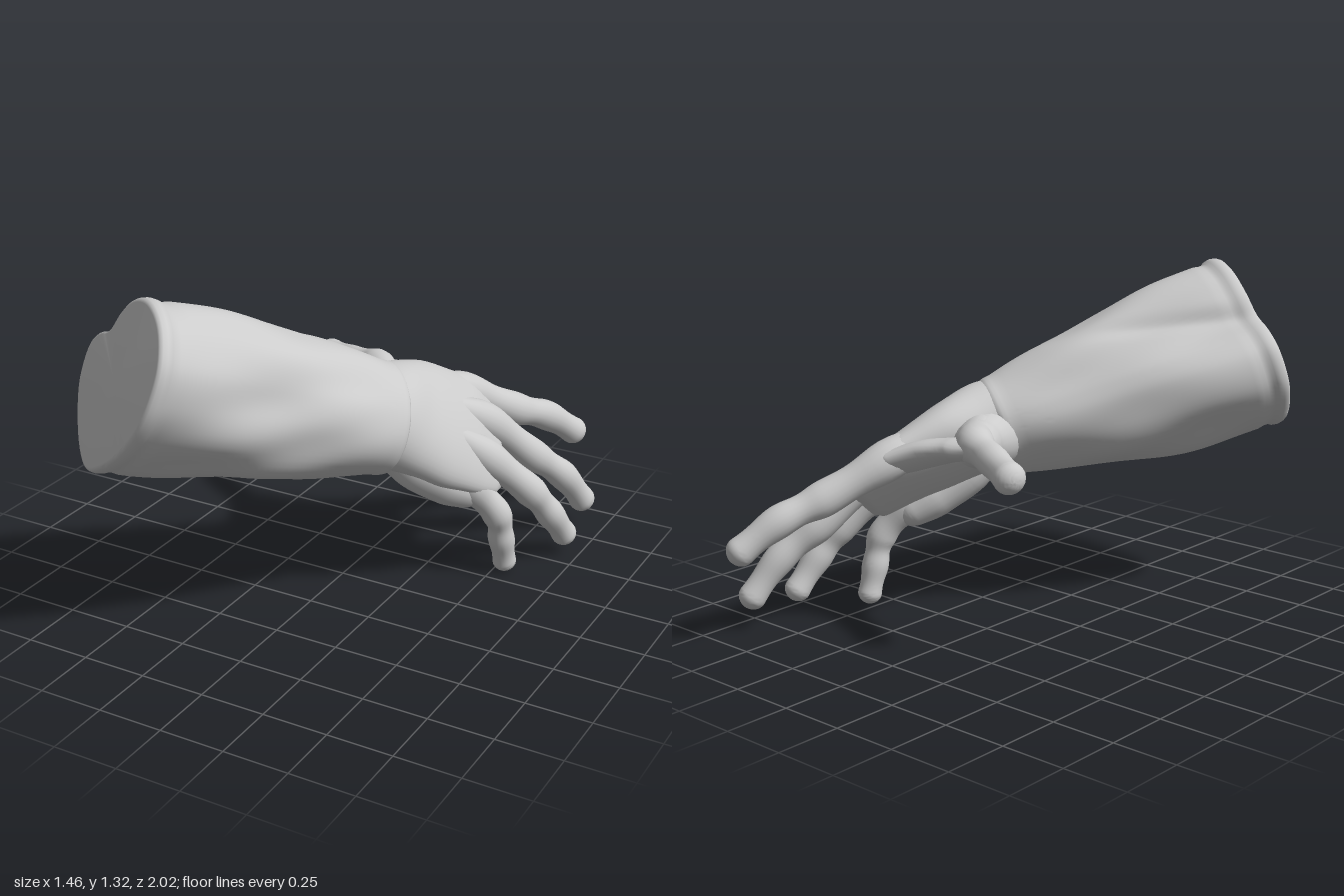
import * as THREE from 'three';
import { toCreasedNormals } from 'three/addons/utils/BufferGeometryUtils.js';

const V = (x, y, z) => new THREE.Vector3(x, y, z);
const material = new THREE.MeshStandardMaterial({ color: 0xcccccc });

// Arm frame: axis runs from the cuff to the wrist, side is horizontal, up completes it
const axis = V(0.556, -0.335, -0.761).normalize();
const side = V(0.808, 0, 0.59).normalize();
const up = side.clone().cross(axis);
const elbow = V(-0.44, 1.0, 0.82);

// Hand frame: across runs from index to little finger, dorsal leaves the back of the hand
const across = V(0.41, -0.5, 0.76).normalize();
const dorsal = V(0.676, 0.7, 0.095).normalize();

// Skin a list of rings (each counter-clockwise about the direction of travel)
function loft(name, rings, crease = 1) {
  const n = rings[0].length;
  const pos = [], index = [];
  rings.forEach(r => r.forEach(p => pos.push(p.x, p.y, p.z)));
  const at = (i, j) => i * n + (j % n);
  for (let i = 0; i < rings.length - 1; i++)
    for (let j = 0; j < n; j++) {
      const a = at(i, j), b = at(i, j + 1), c = at(i + 1, j + 1), d = at(i + 1, j);
      index.push(a, b, c, a, c, d);
    }
  [0, rings.length - 1].forEach(i => {
    const mid = rings[i].reduce((s, p) => s.add(p), V(0, 0, 0)).divideScalar(n);
    const k = pos.length / 3;
    pos.push(mid.x, mid.y, mid.z);
    for (let j = 0; j < n; j++)
      i === 0 ? index.push(k, at(i, j + 1), at(i, j)) : index.push(k, at(i, j), at(i, j + 1));
  });
  const g = new THREE.BufferGeometry();
  g.setAttribute('position', new THREE.Float32BufferAttribute(pos, 3));
  g.setIndex(index);
  const mesh = new THREE.Mesh(toCreasedNormals(g, crease), material);
  mesh.name = name;
  return mesh;
}

const ellipse = (c, a, ra, b, rb, n) => Array.from({ length: n }, (_, j) => {
  const t = j / n * Math.PI * 2;
  return c.clone().addScaledVector(a, ra * Math.cos(t)).addScaledVector(b, rb * Math.sin(t));
});

// Value of a list of numbers at a fractional position, eased between entries
function blend(list, k) {
  const i = Math.min(Math.floor(k), list.length - 2);
  return THREE.MathUtils.lerp(list[i], list[i + 1], THREE.MathUtils.smoothstep(k - i, 0, 1));
}

// Round-ended limb through points; knob swells the joints, widen stretches it sideways
function limb(name, points, radii, { knob = 0, widen = 1 } = {}) {
  const pts = points.map(p => V(...p));
  const curve = new THREE.CatmullRomCurve3(pts, false, 'centripetal');
  const rings = [], steps = 52;
  for (let i = 0; i <= steps; i++) {
    const u = 1 - Math.pow(1 - i / steps, 1.7);
    const k = u * (pts.length - 1);
    const p = curve.getPoint(u), t = curve.getTangent(u);
    const s = t.clone().cross(dorsal).normalize(), d = s.clone().cross(t);
    let r = blend(radii, k) * (1 + knob * Math.cos(k * Math.PI * 2));
    const gap = Math.max(p.distanceTo(pts[pts.length - 1]), 0.0004);
    if (gap < r) r = Math.sqrt(r * r - (r - gap) ** 2);
    rings.push(ellipse(p, d, r, s, r * widen, 20));
  }
  return loft(name, rings, 1.4);
}

// Sleeve: the notched cuff outline blends into the oval wrist
function sleeve() {
  const outline = new THREE.CatmullRomCurve3([
    [0.32, 0.053], [0.312, 0.19], [0.224, 0.297], [0.078, 0.34], [-0.05, 0.308], [-0.13, 0.234],
    [-0.185, 0.149], [-0.274, 0.106], [-0.333, 0.042], [-0.338, -0.085], [-0.275, -0.19],
    [-0.15, -0.297], [-0.043, -0.33], [0.058, -0.287], [0.183, -0.19], [0.286, -0.053],
  ].map(([x, y]) => V(x, y, 0)), true);
  const n = 96, rings = [];
  const ring = (t, scale) => {
    const m = Math.pow(Math.min(t / 1.06, 1), 1.45);
    const c = elbow.clone().addScaledVector(axis, t).addScaledVector(up, 0.06 * t).addScaledVector(side, 0.012 * m);
    return Array.from({ length: n }, (_, j) => {
      const o = outline.getPoint(j / n);
      const a = Math.atan2(o.y, o.x), e = a + 0.656;
      const oval = 1 / Math.hypot(Math.cos(e) / 0.222, Math.sin(e) / 0.185);
      const body = Math.sin(Math.PI * Math.min(t / 1.06, 1));
      // fuller above and below, flatter on the upper outer side
      const bulge = body * (0.026 - 0.055 * Math.exp(-((a - 0.6) ** 2) / 0.4));
      // slanting cloth folds and the groove running from the notch
      const folds = 0.008 * body * Math.sin(4 * a + 8 * t) + 0.005 * body * Math.sin(7 * a - 9 * t);
      const off = Math.atan2(Math.sin(a - 2.45 + 0.9 * t), Math.cos(a - 2.45 + 0.9 * t));
      const groove = 0.045 * body * Math.exp(-(off * off) / 0.02) * Math.max(0, 1 - t / 0.8);
      const r = (THREE.MathUtils.lerp(o.length(), oval, m) + bulge + folds - groove) * scale;
      return c.clone().addScaledVector(side, r * Math.cos(a)).addScaledVector(up, r * Math.sin(a));
    });
  };
  // rolled cuff rim
  [[0, 0.95], [0.002, 0.98], [0.012, 1.0], [0.03, 1.01], [0.05, 1.0], [0.062, 0.975]]
    .forEach(([t, s]) => rings.push(ring(t, s)));
  for (let i = 1; i <= 40; i++) rings.push(ring(0.062 + i * 0.0238, i === 1 ? 0.975 : 0.99));
  // slim hem at the wrist
  [[1.03, 1.0], [1.045, 1.01], [1.06, 1.005], [1.068, 0.97], [1.07, 0.85]]
    .forEach(([t, s]) => rings.push(ring(t, s)));
  return loft('sleeve', rings.reverse(), 0.9);
}

// Palm: oval sections [centre, half width, half thickness] from wrist to finger webs
function palm() {
  const keys = [
    [[0.11, 0.75, 0.08], 0.2, 0.16], [[0.17, 0.725, 0.0], 0.22, 0.17],
    [[0.24, 0.675, -0.12], 0.255, 0.142], [[0.31, 0.61, -0.225], 0.27, 0.118],
    [[0.365, 0.555, -0.325], 0.268, 0.092], [[0.405, 0.505, -0.385], 0.245, 0.07],
    [[0.435, 0.465, -0.425], 0.21, 0.052], [[0.45, 0.445, -0.445], 0.17, 0.022],
  ];
  const path = new THREE.CatmullRomCurve3(keys.map(k => V(...k[0])));
  const size = new THREE.CatmullRomCurve3(keys.map(k => V(k[1], k[2], 0)));
  return loft('palm', Array.from({ length: 36 }, (_, i) => {
    const s = size.getPoint(i / 35);
    return ellipse(path.getPoint(i / 35), dorsal, s.y, across, s.x, 48);
  }), 1.4);
}

export function createModel() {
  const model = new THREE.Group();
  model.name = 'forearmAndHand';
  model.add(sleeve(), palm());

  // Fingers: hand bone, knuckle, two joints, tip
  const fingers = {
    indexFinger: [1.18, [[0.18, 0.8, -0.14], [0.275, 0.655, -0.48], [0.4, 0.53, -0.69], [0.48, 0.46, -0.84], [0.575, 0.33, -1.0]]],
    middleFinger: [1.12, [[0.26, 0.78, -0.08], [0.4, 0.585, -0.405], [0.525, 0.385, -0.61], [0.61, 0.265, -0.73], [0.675, 0.09, -0.855]]],
    ringFinger: [1.08, [[0.31, 0.73, -0.03], [0.47, 0.495, -0.28], [0.6, 0.32, -0.425], [0.655, 0.205, -0.5], [0.695, 0.05, -0.61]]],
    littleFinger: [1.0, [[0.33, 0.66, 0.0], [0.445, 0.4, -0.205], [0.525, 0.265, -0.28], [0.535, 0.15, -0.31], [0.54, 0, -0.35]]],
  };
  for (const [name, [size, pts]] of Object.entries(fingers))
    model.add(limb(name, pts, [0.03, 0.062, 0.054, 0.049, 0.047].map(r => r * size), { knob: 0.07 }));

  // Thumb with its fleshy base, the web to the index finger, and the outer edge of the palm
  model.add(
    limb('thumb', [[0.1, 0.72, -0.16], [-0.04, 0.74, -0.35], [-0.18, 0.72, -0.415], [-0.375, 0.69, -0.515]],
      [0.085, 0.068, 0.056, 0.06], { knob: 0.06 }),
    limb('thumbBase', [[0.1, 0.7, 0.02], [0.09, 0.7, -0.12], [0.03, 0.715, -0.26], [-0.1, 0.73, -0.385]],
      [0.1, 0.115, 0.09, 0.05]),
    limb('thumbWeb', [[-0.1, 0.735, -0.375], [0.03, 0.715, -0.37], [0.15, 0.685, -0.4], [0.3, 0.63, -0.5]],
      [0.03, 0.045, 0.05, 0.045], { widen: 1.9 }),
    limb('palmHeel', [[0.24, 0.59, 0.03], [0.3, 0.51, -0.04], [0.37, 0.43, -0.13], [0.46, 0.34, -0.25]],
      [0.08, 0.09, 0.085, 0.06]),
  );
  return model;
}
